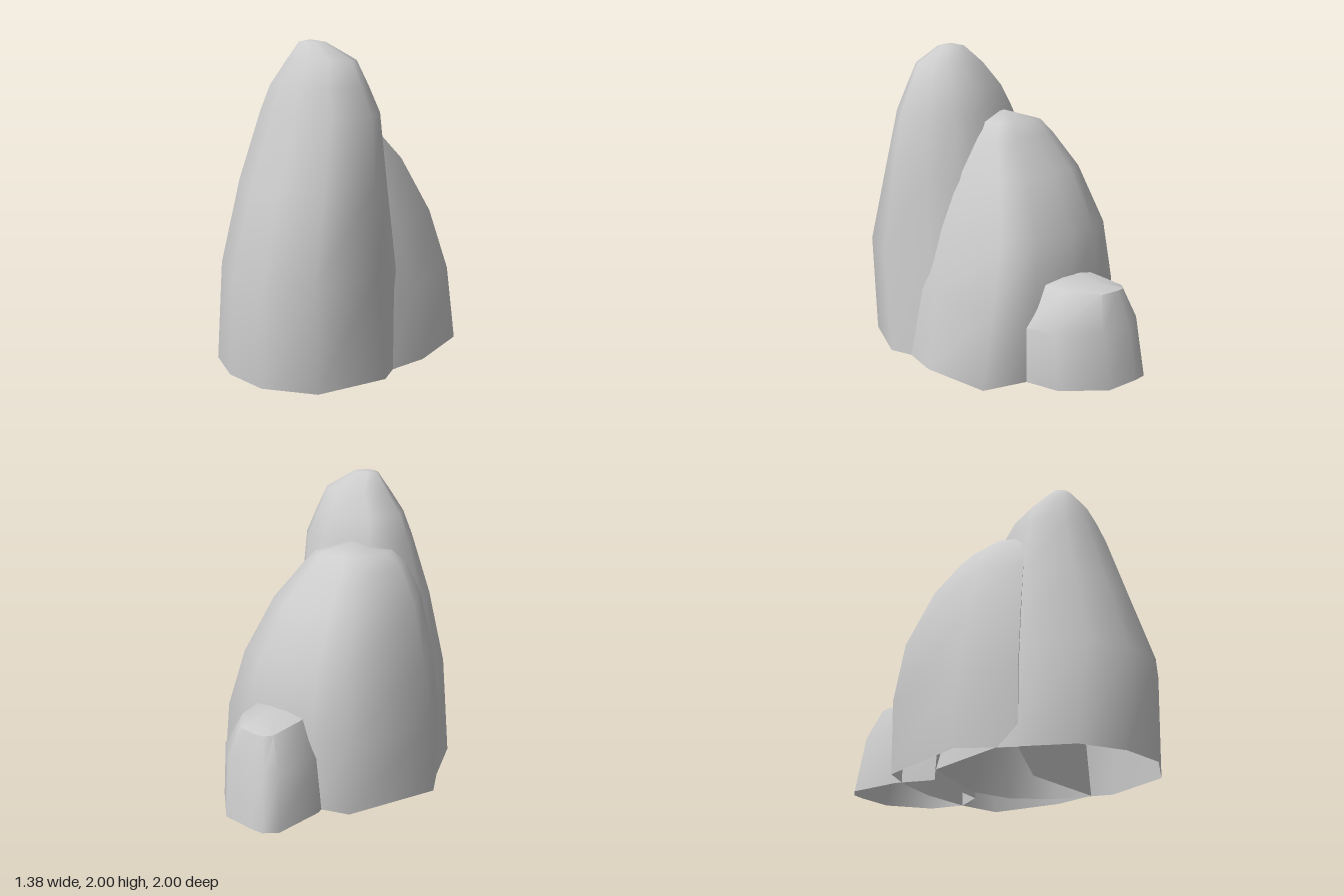
import * as THREE from 'three';
import { toCreasedNormals } from 'three/addons/utils/BufferGeometryUtils.js';

const material = new THREE.MeshStandardMaterial({ color: 0xcccccc, side: THREE.DoubleSide });

// Open-bottomed rock: an outline [x, z] is fitted into the extents of each row
// [y, xMin, xMax, zMin, zMax, tilt], and the last row is closed around a peak [x, y, z].
function rock(name, crease, outline, rows, peak) {
  const box = new THREE.Box2().setFromPoints(outline.map(([x, z]) => new THREE.Vector2(x, z)));
  const size = box.getSize(new THREE.Vector2());
  const n = outline.length;
  const positions = [];
  const index = [];
  for (const [y, x0, x1, z0, z1, tilt = 0] of rows) {
    for (const [x, z] of outline) {
      const u = (x - box.min.x) / size.x;
      const v = (z - box.min.y) / size.y;
      positions.push(x0 + (x1 - x0) * u, y + tilt * (2 * v - 1), z0 + (z1 - z0) * v);
    }
  }
  positions.push(...peak);

  const last = (rows.length - 1) * n;
  for (let i = 0; i < n; i++) {
    const k = (i + 1) % n;
    for (let r = 0; r < last; r += n) {
      index.push(r + i, r + k, r + n + k, r + i, r + n + k, r + n + i);
    }
    index.push(last + i, last + k, last + n);
  }

  const geometry = new THREE.BufferGeometry();
  geometry.setAttribute('position', new THREE.Float32BufferAttribute(positions, 3));
  geometry.setIndex(index);
  const mesh = new THREE.Mesh(toCreasedNormals(geometry, crease), material);
  mesh.name = name;
  return mesh;
}

export function createModel() {
  const group = new THREE.Group();
  group.name = 'rockFormation';

  // Tall pointed rock at the front
  group.add(rock('tallRock', 1.3,
    [[-0.59, 0.3], [-0.44, 0.73], [-0.2, 0.92], [0.09, 1], [0.42, 0.9],
      [0.64, 0.49], [0.56, 0.09], [0.4, -0.155], [0.145, -0.285], [-0.39, -0.22]],
    [
      [0, -0.59, 0.64, -0.285, 0.98],
      [0.65, -0.49, 0.62, -0.14, 1],
      [1.16, -0.4, 0.57, -0.01, 0.84],
      [1.57, -0.28, 0.52, 0.07, 0.71],
      [1.73, -0.21, 0.45, 0.14, 0.65],
      [1.88, -0.09, 0.38, 0.23, 0.58],
      [1.985, 0.01, 0.19, 0.36, 0.5],
    ],
    [0.09, 2, 0.44]));

  // Broad rock in the middle, with a small sloping top
  group.add(rock('broadRock', 1.3,
    [[-0.69, 0.07], [-0.54, 0.4], [0, 0.22], [0.6, 0.34], [0.69, 0.06],
      [0.69, -0.43], [0.42, -0.54], [0.09, -0.6], [-0.2, -0.59], [-0.43, -0.53]],
    [
      [0, -0.69, 0.69, -0.58, 0.4],
      [0.47, -0.67, 0.62, -0.6, 0.4],
      [0.86, -0.59, 0.5, -0.55, 0.39],
      [1.22, -0.48, 0.36, -0.37, 0.37],
      [1.43, -0.36, 0.23, -0.2, 0.33],
      [1.52, -0.27, 0.16, -0.13, 0.27],
    ],
    [-0.03, 1.58, 0.07]));

  // Small blunt rock at the back
  group.add(rock('smallRock', 0.9,
    [[-0.26, -0.6], [-0.2, -0.35], [0.3, -0.35], [0.43, -0.52], [0.4, -0.75],
      [0.18, -0.97], [-0.05, -1], [-0.14, -1], [-0.22, -0.94]],
    [
      [0, -0.26, 0.42, -1, -0.35],
      [0.35, -0.23, 0.42, -0.95, -0.35],
      [0.58, -0.13, 0.27, -0.88, -0.42, 0.02],
    ],
    [0.07, 0.62, -0.7]));

  return group;
}
